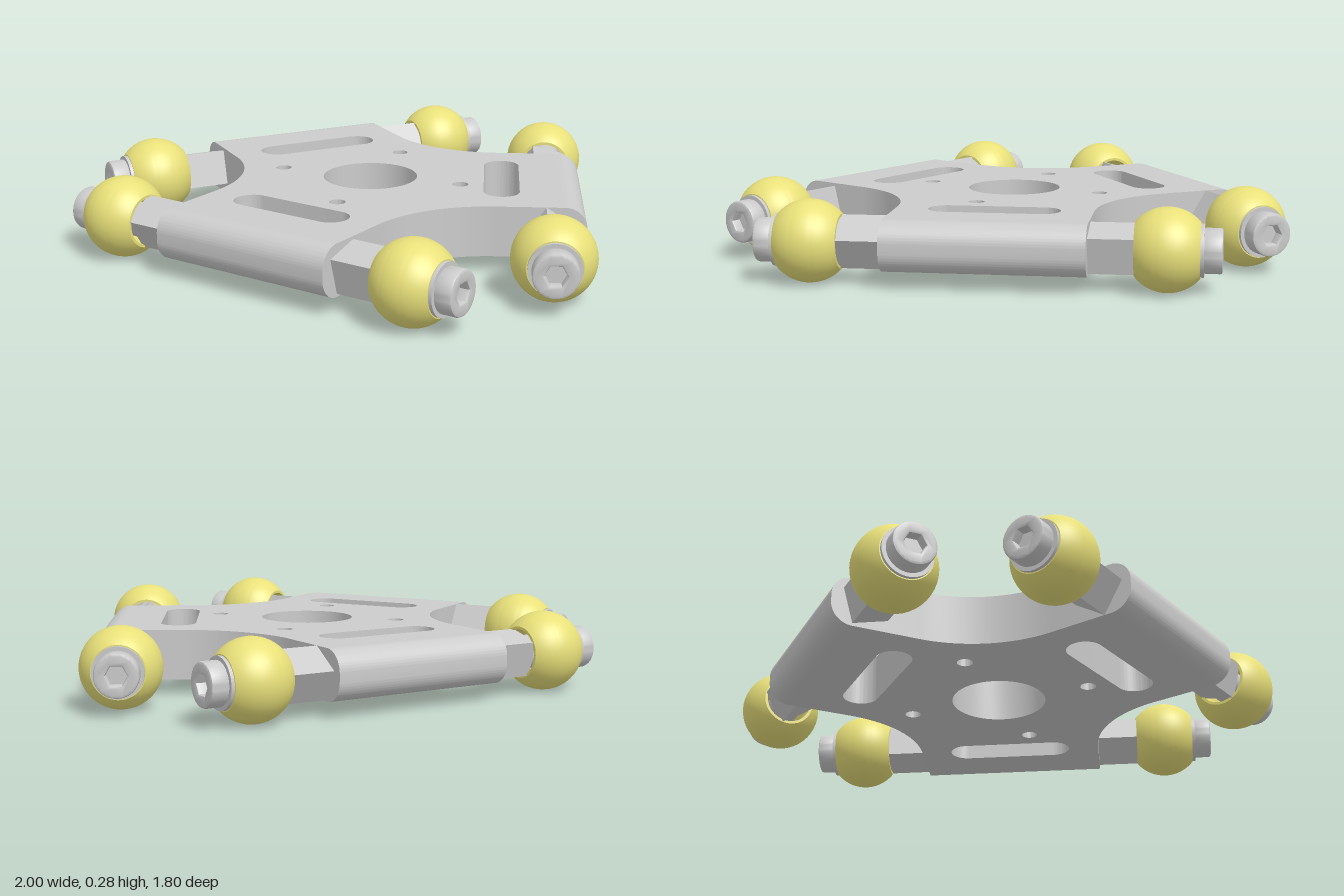
import * as THREE from 'three';
import { toCreasedNormals } from 'three/addons/utils/BufferGeometryUtils.js';

const grey = new THREE.MeshStandardMaterial({ color: 0xcccccc });
const yellow = new THREE.MeshStandardMaterial({ color: 0xe8e07a });

const MID = 0.141;      // height of the rod axes
const HALF = 0.088;     // half the plate thickness
const ARM = 0.34;       // half the arm width
const LIP = 0.68;       // where the rounded arm edge begins
const EDGE = 0.755;     // outer edge of an arm
const AXIS = 0.635;     // distance of the rod axis from the plate centre

function mesh(name, geometry, material = grey) {
  const m = new THREE.Mesh(geometry, material);
  m.name = name;
  return m;
}

function spin(x, y, a) {
  return [x * Math.cos(a) - y * Math.sin(a), x * Math.sin(a) + y * Math.cos(a)];
}

function roundHole(x, y, r) {
  return new THREE.Path().absarc(x, y, r, 0, Math.PI * 2, true);
}

// Three-armed plate with concave sides, slots and bolt holes
function plateGeometry() {
  const fillet = 0.436;
  const gap = ARM / Math.sin(Math.PI / 3) + fillet / Math.sin(Math.PI / 3);
  const tangent = gap / 2;
  const shape = new THREE.Shape();
  for (let k = 0; k < 3; k++) {
    const a = (k * Math.PI * 2) / 3;
    const start = spin(ARM, tangent, a);
    if (k === 0) shape.moveTo(...start);
    shape.lineTo(...spin(ARM, LIP, a));
    shape.lineTo(...spin(-ARM, LIP, a));
    shape.lineTo(...spin(-ARM, tangent, a));
    const c = spin(-gap * Math.sin(Math.PI / 3), tangent, a);
    shape.absarc(c[0], c[1], fillet, a, a - Math.PI / 3, true);

    // slot across the arm
    const r = 0.0625, w = 0.165, s = 0.4675;
    const slot = new THREE.Path();
    const right = spin(w, s, a), left = spin(-w, s, a);
    slot.absarc(right[0], right[1], r, a - Math.PI / 2, a + Math.PI / 2, false);
    slot.absarc(left[0], left[1], r, a + Math.PI / 2, a + Math.PI * 1.5, false);
    shape.holes.push(slot);
  }
  shape.holes.push(roundHole(0, 0, 0.167));
  for (let k = 0; k < 4; k++) {
    const [x, y] = spin(0.087, 0.323, (k * Math.PI) / 2);
    shape.holes.push(roundHole(x, y, 0.028));
  }
  const g = new THREE.ExtrudeGeometry(shape, { depth: HALF * 2, bevelEnabled: false, curveSegments: 24 });
  g.rotateX(Math.PI / 2).translate(0, HALF, 0);
  return toCreasedNormals(g, 0.6);
}

// Rounded outer edge of an arm, extruded along x
function lipGeometry() {
  const r = EDGE - LIP, flat = HALF - r;
  const s = new THREE.Shape();
  s.moveTo(-LIP, HALF);
  s.lineTo(-LIP, -HALF);
  s.absarc(-LIP, -flat, r, -Math.PI / 2, -Math.PI, true);
  s.absarc(-LIP, flat, r, Math.PI, Math.PI / 2, true);
  const g = new THREE.ExtrudeGeometry(s, { depth: ARM * 2, bevelEnabled: false, curveSegments: 12 });
  g.translate(0, 0, -ARM).rotateY(Math.PI / 2);
  return toCreasedNormals(g, 0.6);
}

// Ball cut flat on both sides, with a bore through it
function ballGeometry() {
  const R = 0.141, half = 0.107, bore = 0.082, pts = [];
  const end = Math.asin(half / R);
  for (let i = 0; i <= 24; i++) {
    const t = -end + (2 * end * i) / 24;
    pts.push(new THREE.Vector2(R * Math.cos(t), R * Math.sin(t)));
  }
  pts.push(new THREE.Vector2(bore, half), new THREE.Vector2(bore, -half), pts[0].clone());
  const g = new THREE.LatheGeometry(pts, 48).rotateZ(-Math.PI / 2);
  return toCreasedNormals(g, 0.5);
}

// Bolt head with a hexagonal socket, facing +x
function boltHeadGeometry() {
  const s = new THREE.Shape().absarc(0, 0, 0.067, 0, Math.PI * 2, false);
  const hex = new THREE.Path();
  for (let i = 0; i < 6; i++) {
    const p = spin(0.046, 0, (-i * Math.PI) / 3);
    if (i === 0) hex.moveTo(...p);
    else hex.lineTo(...p);
  }
  hex.closePath();
  s.holes.push(hex);
  const g = new THREE.ExtrudeGeometry(s, {
    depth: 0.049, bevelEnabled: true, bevelSize: 0.008, bevelThickness: 0.008, bevelSegments: 2, curveSegments: 24,
  });
  return toCreasedNormals(g.rotateY(Math.PI / 2), 0.5);
}

// Cylinder along x between two positions
function bar(x0, x1, r, sides = 40) {
  return new THREE.CylinderGeometry(r, r, x1 - x0, sides).rotateZ(-Math.PI / 2).translate((x0 + x1) / 2, 0, 0);
}

export function createModel() {
  const model = new THREE.Group();
  model.name = 'ballJointPlatform';
  const body = new THREE.Group();
  body.name = 'platform';
  body.position.set(0, MID, 0.12);
  model.add(body);
  body.add(mesh('plate', plateGeometry()));

  const lip = lipGeometry();
  const ball = ballGeometry();
  const head = boltHeadGeometry();
  const squareRod = toCreasedNormals(bar(0.3, 0.5, 0.09, 4), 0.3);
  const core = bar(0.49, 0.74, 0.06);
  const collar = bar(0.7, 0.716, 0.088);

  for (let k = 0; k < 3; k++) {
    const arm = new THREE.Group();
    arm.name = 'arm' + (k + 1);
    arm.rotation.y = (k * Math.PI * 2) / 3;
    arm.add(mesh('roundedEdge', lip));

    // a ball joint at each end of the arm
    for (const side of [1, -1]) {
      const joint = new THREE.Group();
      joint.name = side > 0 ? 'leftJoint' : 'rightJoint';
      joint.position.z = AXIS;
      joint.rotation.y = side > 0 ? 0 : Math.PI;
      const rod = mesh('squareRod', squareRod);
      rod.rotation.x = THREE.MathUtils.degToRad(side > 0 ? -30 : 12);
      const ballMesh = mesh('ball', ball, yellow);
      ballMesh.position.x = 0.597;
      const bolt = mesh('boltHead', head);
      bolt.position.x = 0.719;
      joint.add(rod, ballMesh, bolt, mesh('boltShank', core), mesh('collar', collar));
      arm.add(joint);
    }
    body.add(arm);
  }
  return model;
}
